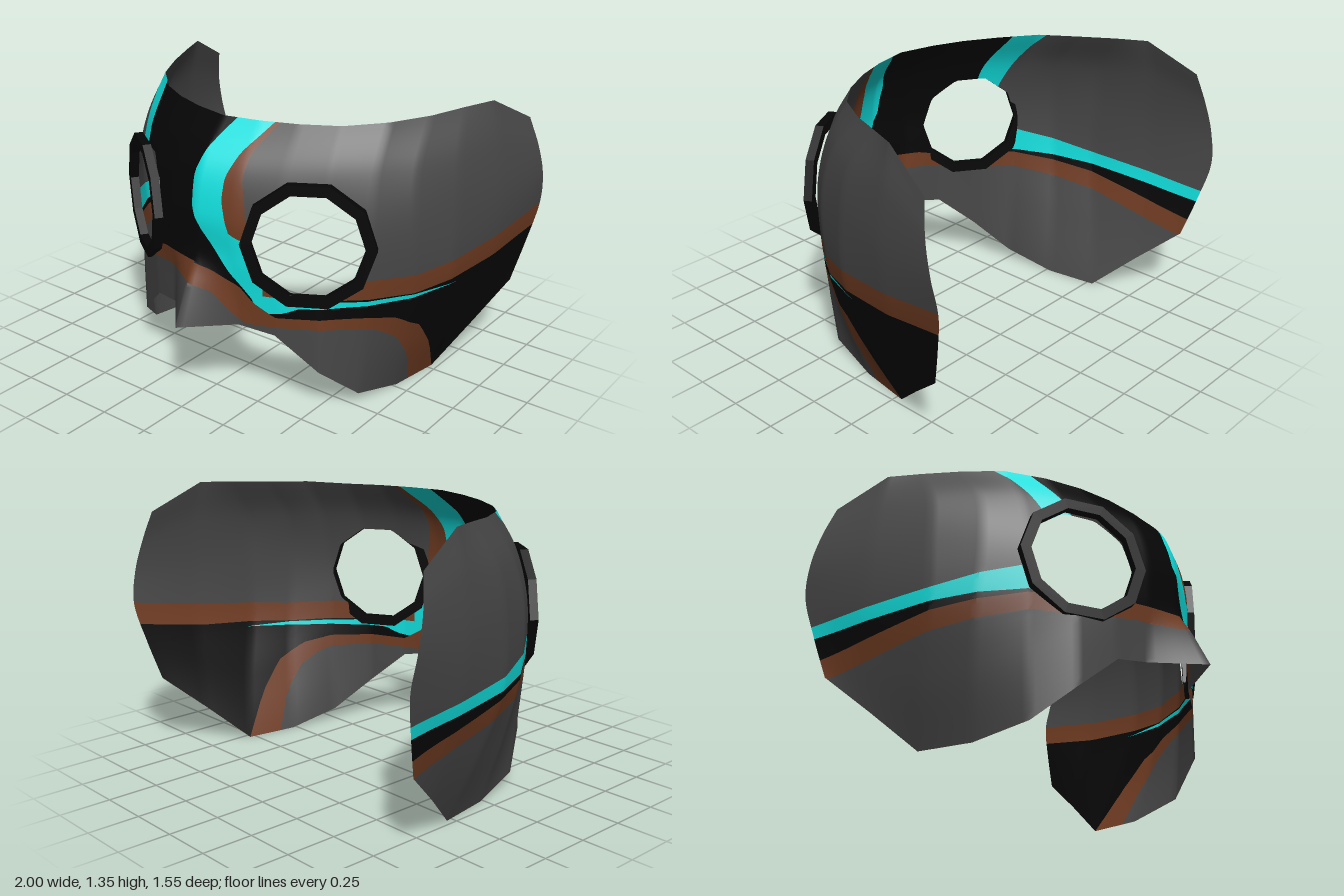
import * as THREE from 'three';
import { mergeVertices } from 'three/addons/utils/BufferGeometryUtils.js';

const material = (name, color) => {
  const m = new THREE.MeshStandardMaterial({ color, side: THREE.DoubleSide });
  m.name = name;
  return m;
};

// Straight-sided contour through [x, y, z] points, t from 0 to 1
const contour = (...pts) => (t) => {
  const i = Math.min(Math.floor(t * (pts.length - 1)), pts.length - 2);
  return new THREE.Vector3(...pts[i]).lerp(new THREE.Vector3(...pts[i + 1]), t * (pts.length - 1) - i);
};

// Piecewise linear function through [input, output] pairs
const line = (...pts) => (v) => {
  if (v <= pts[0][0]) return pts[0][1];
  for (let i = 1; i < pts.length; i++) {
    const [a, p] = pts[i - 1], [b, q] = pts[i];
    if (v <= b) return p + ((q - p) * (v - a)) / (b - a);
  }
  return pts[pts.length - 1][1];
};

// Contours of one half, from the centre line round to the back edge
const topEdge = contour([0, 1.32, 0.41], [0.18, 1.32, 0.37], [0.34, 1.32, 0.31], [0.5, 1.32, 0.22], [0.65, 1.33, 0.08],
  [0.75, 1.335, -0.1], [0.82, 1.345, -0.27], [0.88, 1.35, -0.42], [0.945, 1.22, -0.67]);
const brow = contour([0, 1.14, 0.565], [0.18, 1.14, 0.515], [0.35, 1.14, 0.43], [0.52, 1.14, 0.33], [0.67, 1.14, 0.2],
  [0.78, 1.14, 0.05], [0.87, 1.14, -0.15], [0.93, 1.15, -0.42], [0.985, 1.07, -0.71]);
const eyeLine = contour([0, 0.93, 0.62], [0.18, 0.93, 0.575], [0.36, 0.93, 0.49], [0.53, 0.92, 0.385], [0.69, 0.9, 0.26],
  [0.81, 0.9, 0.1], [0.895, 0.9, -0.12], [0.955, 0.9, -0.42], [1, 0.92, -0.75]);
const cheek = contour([0, 0.74, 0.615], [0.18, 0.74, 0.575], [0.36, 0.74, 0.5], [0.53, 0.7, 0.4], [0.69, 0.65, 0.26],
  [0.81, 0.6, 0.08], [0.885, 0.6, -0.12], [0.94, 0.65, -0.44], [0.985, 0.76, -0.775]);
const jaw = contour([0, 0.59, 0.69], [0.18, 0.58, 0.565], [0.36, 0.56, 0.5], [0.53, 0.47, 0.41], [0.665, 0.36, 0.25],
  [0.76, 0.3, 0.03], [0.82, 0.3, -0.2], [0.885, 0.42, -0.46], [0.95, 0.57, -0.735]);
const lowerEdge = contour([0, 0.42, 0.77], [0.19, 0.41, 0.56], [0.35, 0.38, 0.5], [0.53, 0.21, 0.41], [0.635, 0.06, 0.24],
  [0.68, 0, -0.02], [0.72, 0, -0.28], [0.82, 0.19, -0.48], [0.91, 0.37, -0.68]);

// Triangles of the shell half at +x
function halfShell(nu, nv) {
  const grid = [];
  for (let i = 0; i <= nu; i++) {
    const points = [topEdge, brow, eyeLine, cheek, jaw, lowerEdge].map((c) => c(i / nu));
    grid.push(new THREE.CatmullRomCurve3(points, false, 'catmullrom', 0.5).getPoints(nv));
  }
  const tris = [];
  for (let i = 0; i < nu; i++)
    for (let j = 0; j < nv; j++) {
      const a = grid[i][j], b = grid[i][j + 1], c = grid[i + 1][j + 1], d = grid[i + 1][j];
      tris.push([a, b, c], [a, c, d]);
    }
  return tris;
}

// Split triangles along f = 0 into [below, above]
function cut(tris, f) {
  const out = [[], []];
  for (const tri of tris) {
    const d = tri.map(f);
    for (const k of [0, 1]) {
      const poly = [];
      for (let i = 0; i < 3; i++) {
        const n = (i + 1) % 3;
        const inside = k ? d[i] >= 0 : d[i] < 0;
        const nextInside = k ? d[n] >= 0 : d[n] < 0;
        if (inside) poly.push(tri[i]);
        if (inside !== nextInside) poly.push(tri[i].clone().lerp(tri[n], d[i] / (d[i] - d[n])));
      }
      for (let i = 2; i < poly.length; i++) out[k].push([poly[0], poly[i - 1], poly[i]]);
    }
  }
  return out;
}

// Eyes: ten-sided openings in planes turned towards the sides
const EYES = [
  { name: 'leftEyeRim', centre: new THREE.Vector3(0.468, 0.825, 0.41), yaw: 0.52 },
  { name: 'rightEyeRim', centre: new THREE.Vector3(-0.485, 0.825, 0.4), yaw: -0.6 },
];
const eyeHole = ({ centre, yaw }) => (p) => {
  const u = (p.x - centre.x) * Math.cos(yaw) - (p.z - centre.z) * Math.sin(yaw);
  const v = p.y - centre.y;
  let d = -1;
  for (let i = 0; i < 10; i++) {
    const a = ((i + 0.5) * Math.PI) / 5;
    d = Math.max(d, u * Math.cos(a) + v * Math.sin(a));
  }
  return d - 0.24;
};

// Distance round the mask, used by the paint lines
const round = (p) => Math.abs(p.x) - p.z;
const under = (fn) => (p) => p.y - fn(round(p));
const within = (fn) => (p) => p.x - fn(p.y);
const beyond = (fn) => (p) => fn(p.y) - p.x;

// Swoosh and stripe edges: x as a function of height
const swooshStart = line([0.48, 0.28], [0.55, 0.25], [0.65, 0.17], [0.75, 0.1], [0.85, 0.03], [0.95, -0.02],
  [1.1, -0.03], [1.2, 0], [1.27, 0.035], [1.33, 0.075]);
const swooshMiddle = line([0.56, 0.3], [0.81, 0.3], [0.84, 0.165], [0.9, 0.145], [1, 0.12], [1.1, 0.12], [1.2, 0.155], [1.33, 0.245]);
const swooshEnd = line([0.84, 0.24], [1, 0.22], [1.1, 0.195], [1.2, 0.2], [1.33, 0.265]);
const stripeStart = line([1, -0.51], [1.1, -0.51], [1.33, -0.555]);
const stripeEnd = line([1, -0.6], [1.1, -0.62], [1.33, -0.67]);

// Paint layers, each claiming what lies on the lower side of its line
const leftPaint = [
  ['grey', under(line([-0.69, 0.61], [-0.53, 0.57], [-0.4, 0.46], [-0.33, 0.42], [-0.15, 0.42], [0.1, 0.425], [0.42, 0.41],
    [0.52, 0.385], [0.65, 0.32], [0.75, 0.19], [0.79, 0], [0.85, -0.3]))],
  ['brown', under(line([-0.69, 0.7], [-0.53, 0.67], [-0.36, 0.6], [-0.28, 0.53], [-0.15, 0.47], [0.1, 0.475], [0.42, 0.47],
    [0.63, 0.44], [0.81, 0.36], [0.92, 0.21], [1, 0], [1.1, -0.2]))],
  ['black', within(swooshStart)],
  ['black', under(line([-0.3, 0.53], [-0.2, 0.485], [-0.1, 0.495], [0, 0.525], [0.3, 0.53], [0.7, 0.535], [1.05, 0.552]))],
  ['cyan', within(swooshMiddle)],
  ['cyan', under(line([0, 0.57], [0.3, 0.555], [0.7, 0.555], [1.05, 0.552]))],
  ['brown', within(swooshEnd)],
  ['black', under(line([0.3, 0.565], [0.75, 0.56], [1.35, 0.6], [1.77, 0.665]))],
  ['brown', under(line([0.3, 0.66], [0.75, 0.655], [1.35, 0.705], [1.77, 0.77]))],
];
const rightPaint = [
  ['grey', under(line([-0.69, 0.61], [-0.3, 0.6], [0.1, 0.54], [0.4, 0.55], [1, 0.475], [1.65, 0.345]))],
  ['brown', under(line([-0.69, 0.7], [-0.3, 0.68], [0.1, 0.6], [0.4, 0.63], [1, 0.565], [1.7, 0.44]))],
  ['cyan', beyond((y) => -swooshStart(y) * -1)].map((v) => v),
  ['black', beyond(stripeStart)],
  ['black', under(line([0.1, 0.59], [0.4, 0.645], [1, 0.605], [1.7, 0.555]))],
  ['cyan', under(line([0.1, 0.62], [0.4, 0.765], [1, 0.67], [1.7, 0.615]))],
  ['cyan', beyond(stripeEnd)],
];

function paint(tris, layers, regions) {
  for (const [colour, f] of layers) {
    const [claimed, rest] = cut(tris, f);
    regions[colour].push(...claimed);
    tris = rest;
  }
  regions.grey.push(...tris);
}

export function createModel() {
  const group = new THREE.Group();
  group.name = 'mask';
  const materials = {
    grey: material('dark grey', 0x484848),
    black: material('black', 0x060606),
    brown: material('brown', 0x703c22),
    cyan: material('cyan', 0x10e0de),
  };

  // Shell: both halves with eye openings, grouped by colour
  const half = halfShell(64, 40);
  const mirrored = half.map((t) => [t[0], t[2], t[1]].map((p) => new THREE.Vector3(-p.x, p.y, p.z)));
  const regions = { grey: [], black: [], brown: [], cyan: [] };
  paint(cut(half, eyeHole(EYES[0]))[1], leftPaint, regions);
  paint(cut(mirrored, eyeHole(EYES[1]))[1], rightPaint, regions);

  const points = [];
  const raw = new THREE.BufferGeometry();
  Object.values(regions).forEach((tris, k) => {
    raw.addGroup(points.length, tris.length * 3, k);
    for (const t of tris) points.push(...t);
  });
  raw.setFromPoints(points);
  const geometry = mergeVertices(raw, 1e-4);
  geometry.computeVertexNormals();
  const shell = new THREE.Mesh(geometry, Object.values(materials));
  shell.name = 'maskShell';
  group.add(shell);

  // Eye rims: ten-sided rings lying on the shell
  const decagon = (Type, r) =>
    new Type(Array.from({ length: 10 }, (_, i) => new THREE.Vector2(r * Math.cos((i * Math.PI) / 5), r * Math.sin((i * Math.PI) / 5))));
  const outline = decagon(THREE.Shape, 0.3);
  outline.holes.push(decagon(THREE.Path, 0.25));
  const rim = new THREE.ExtrudeGeometry(outline, { depth: 0.04, bevelEnabled: false });
  for (const { name, centre, yaw } of EYES) {
    const mesh = new THREE.Mesh(rim, materials.black);
    mesh.name = name;
    mesh.position.copy(centre);
    mesh.rotation.y = yaw;
    group.add(mesh);
  }
  return group;
}
